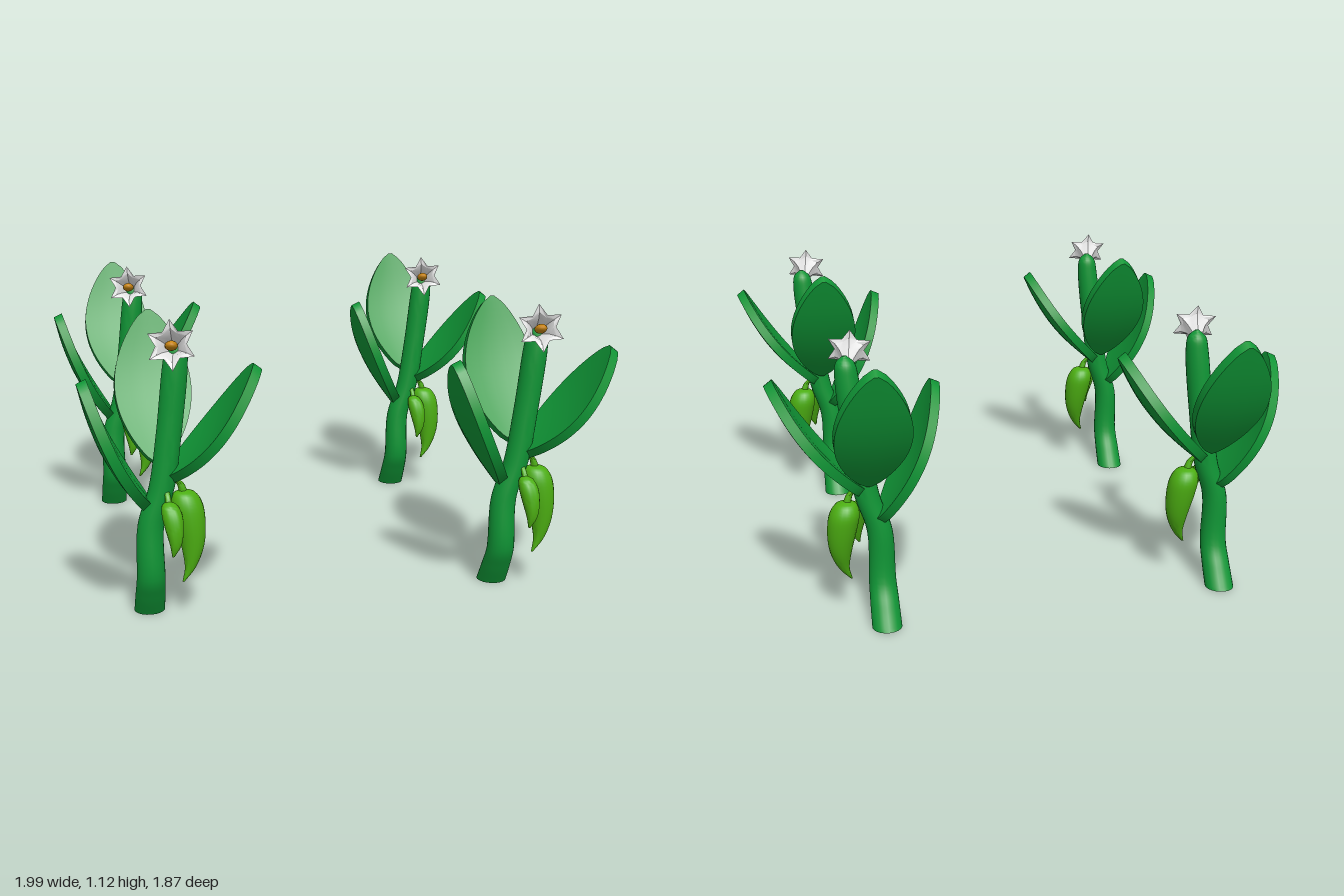
import * as THREE from 'three';
import { toCreasedNormals } from 'three/addons/utils/BufferGeometryUtils.js';

const V = (x, y, z) => new THREE.Vector3(x, y, z);
const mat = (name, color, side = THREE.FrontSide) => {
  const m = new THREE.MeshStandardMaterial({ color, side });
  m.name = name;
  return m;
};

// Joins closed rings of points into a skin, optionally closing both ends
function skin(rings, crease = 0.7, capped = true) {
  const all = [...rings];
  if (capped) {
    const flat = r => {
      const c = r.reduce((s, p) => s.add(p), V(0, 0, 0)).divideScalar(r.length);
      return r.map(() => c);
    };
    all.unshift(flat(rings[0]));
    all.push(flat(rings[rings.length - 1]));
  }
  const n = all[0].length, pos = [], idx = [];
  all.forEach(r => r.forEach(p => pos.push(p.x, p.y, p.z)));
  for (let j = 0; j < all.length - 1; j++) {
    for (let i = 0; i < n; i++) {
      const a = j * n + i, b = j * n + (i + 1) % n;
      if (!(capped && j === all.length - 2)) idx.push(a, a + n, b + n);
      if (!(capped && j === 0)) idx.push(a, b + n, b);
    }
  }
  const g = new THREE.BufferGeometry();
  g.setAttribute('position', new THREE.Float32BufferAttribute(pos, 3));
  g.setIndex(idx);
  return toCreasedNormals(g, crease);
}

// Upright tapering body: each row is x, y, z, radius, from bottom to top
function stalkGeometry(rows, steps = 24, sides = 20) {
  const path = new THREE.CatmullRomCurve3(rows.map(r => V(r[0], r[1], r[2])));
  const radii = new THREE.CatmullRomCurve3(rows.map(r => V(r[3], r[1], r[2])));
  const rings = [];
  for (let j = 0; j <= steps; j++) {
    const c = path.getPoint(j / steps), r = Math.max(0.003, radii.getPoint(j / steps).x);
    rings.push(Array.from({ length: sides }, (_, i) => {
      const a = i / sides * Math.PI * 2;
      return V(c.x + r * Math.cos(a), c.y, c.z + r * Math.sin(a));
    }));
  }
  return skin(rings);
}

// Thick leaf: hollowed inner face, square rim, rounded outer face
function leafGeometry(base, tip, across) {
  const L = tip.clone().sub(base).normalize();
  const W = across.clone().addScaledVector(L, -across.dot(L)).normalize();
  const N = L.clone().cross(W);
  const steps = 24, us = [1, 0.6, 0.2, -0.2, -0.6, -1], rings = [];
  for (let j = 0; j <= steps; j++) {
    const t = j / steps, s = Math.sin(Math.PI * t);
    const w = 0.008 + 0.132 * Math.pow(Math.max(s, 0), 0.72);
    const mid = base.clone().lerp(tip, t).addScaledVector(N, 0.025 * s - 0.02);
    const at = (u, n) => mid.clone().addScaledVector(W, u * w).addScaledVector(N, n);
    const dome = u => (1 - u * u) * s;
    rings.push([
      ...us.map(u => at(u, 0.01 * dome(u))),
      ...us.map(u => at(-u, 0.038 + 0.014 * dome(u))),
    ]);
  }
  return skin(rings, 0.75);
}

// Six-pointed trumpet opening along +z
function blossomGeometry() {
  const rows = [[-0.1, 0.012, 0.012], [-0.065, 0.024, 0.022], [-0.03, 0.04, 0.034],
    [-0.008, 0.06, 0.046], [0, 0.09, 0.054]];
  const rings = rows.map(([z, outer, inner]) => Array.from({ length: 12 }, (_, i) => {
    const a = -i / 12 * Math.PI * 2 + Math.PI / 2, r = i % 2 ? inner : outer;
    return V(-r * Math.cos(a), r * Math.sin(a), z);
  }));
  return skin(rings, 0.5, false);
}

export function createModel() {
  const green = mat('leaf green', 0x109636);
  const lime = mat('fruit green', 0x4cae12);
  const white = mat('petal white', 0xe9e9e9, THREE.DoubleSide);
  const amber = mat('stamen amber', 0xc98512);

  const parts = [
    ['stem', green, stalkGeometry([
      [-0.075, 0, -0.02, 0.057], [-0.076, 0.08, 0.028, 0.055], [-0.076, 0.16, 0.066, 0.052],
      [-0.072, 0.36, 0.07, 0.048], [-0.03, 0.5, 0.074, 0.047], [0, 0.7, 0.078, 0.046],
      [0.028, 0.96, 0.085, 0.044], [0.032, 1.02, 0.085, 0.034], [0.033, 1.045, 0.085, 0.008],
    ], 48)],
    ['rightLeaf', green, leafGeometry(V(-0.07, 0.41, 0.04), V(-0.305, 0.91, 0.14), V(0, 0, -1))],
    ['leftLeaf', green, leafGeometry(V(-0.015, 0.52, 0.055), V(0.305, 0.94, 0.165), V(0, 0, 1))],
    ['backLeaf', green, leafGeometry(V(-0.03, 0.57, 0.03), V(-0.025, 1.08, -0.255), V(1, 0, 0))],
    ['largeFruit', lime, stalkGeometry([
      [0.035, 0.15, 0.115, 0.004], [0.062, 0.2, 0.107, 0.02], [0.074, 0.28, 0.095, 0.042],
      [0.066, 0.38, 0.085, 0.057], [0.056, 0.44, 0.08, 0.056], [0.05, 0.475, 0.08, 0.038],
      [0.048, 0.487, 0.08, 0.008],
    ])],
    ['largeFruitStalk', lime, stalkGeometry([
      [0.048, 0.47, 0.08, 0.016], [0.035, 0.51, 0.08, 0.013], [0, 0.54, 0.078, 0.012],
    ], 10, 10)],
    ['smallFruit', lime, stalkGeometry([
      [-0.008, 0.27, 0.178, 0.004], [0.002, 0.31, 0.175, 0.02], [0, 0.37, 0.163, 0.033],
      [-0.006, 0.42, 0.148, 0.036], [-0.012, 0.45, 0.137, 0.026], [-0.014, 0.462, 0.133, 0.006],
    ])],
    ['smallFruitStalk', lime, stalkGeometry([
      [-0.014, 0.45, 0.133, 0.012], [-0.016, 0.48, 0.12, 0.01], [-0.02, 0.51, 0.085, 0.01],
    ], 10, 10)],
  ];

  // Flower with its stamen, tipped slightly upward
  const blossom = blossomGeometry();
  const stamen = new THREE.SphereGeometry(1, 14, 10);
  stamen.scale(0.023, 0.017, 0.036);

  const model = new THREE.Group();
  model.name = 'plants';
  for (const x of [-0.675, 0.675]) {
    for (const z of [-0.675, 0.675]) {
      const plant = new THREE.Group();
      plant.name = 'plant';
      plant.position.set(x, 0, z);
      for (const [name, material, geometry] of parts) {
        const mesh = new THREE.Mesh(geometry, material);
        mesh.name = name;
        plant.add(mesh);
      }
      const flower = new THREE.Group();
      flower.name = 'flower';
      flower.position.set(0, 1.035, 0.19);
      flower.rotation.set(-0.34, -0.2, 0);
      const petals = new THREE.Mesh(blossom, white);
      petals.name = 'petals';
      const centre = new THREE.Mesh(stamen, amber);
      centre.name = 'stamen';
      centre.position.z = -0.012;
      flower.add(petals, centre);
      plant.add(flower);
      model.add(plant);
    }
  }
  return model;
}
